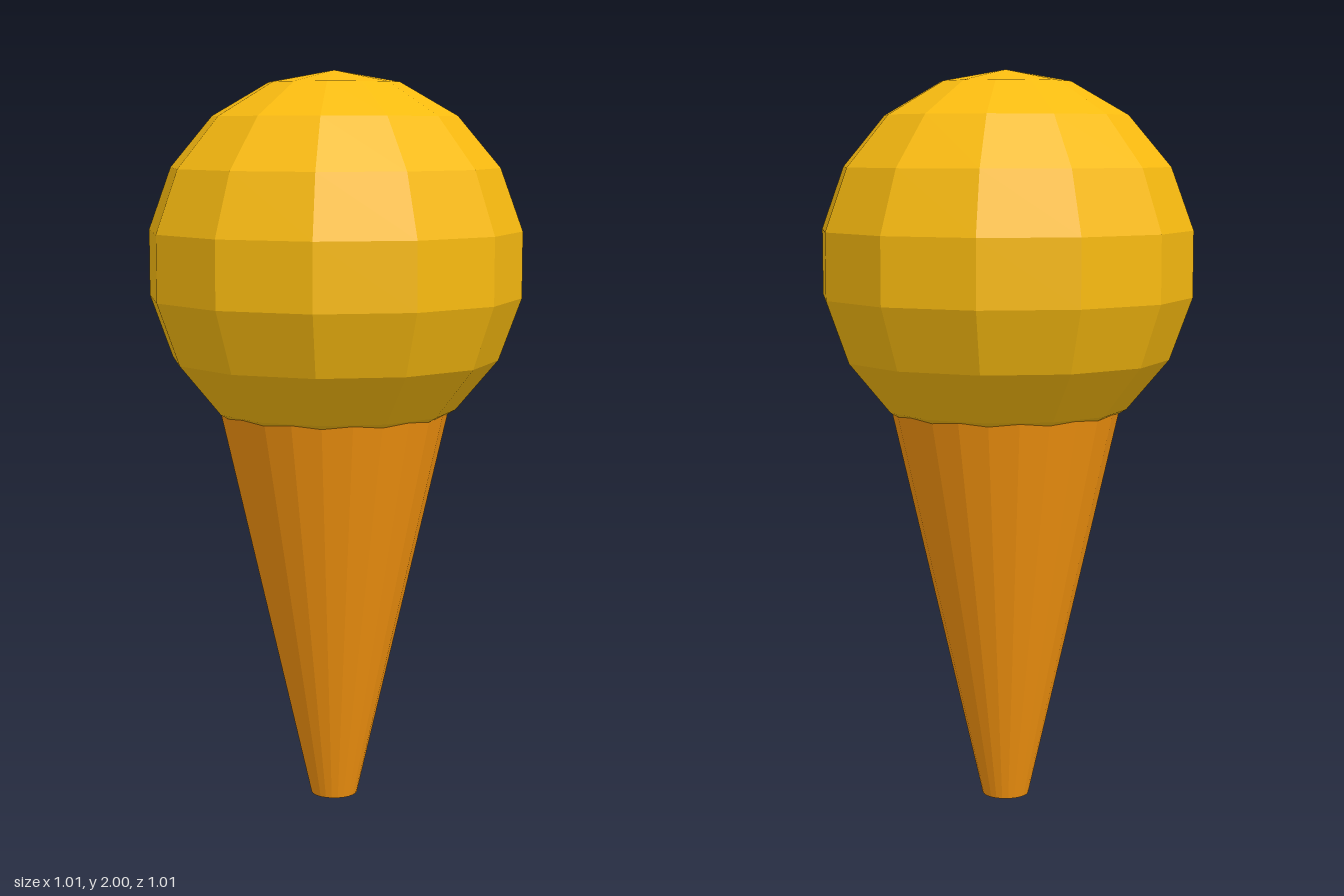
import * as THREE from 'three';

export function createModel() {
  const model = new THREE.Group();
  model.name = 'iceCream';

  const addPart = (name, geometry, color, y) => {
    const material = new THREE.MeshStandardMaterial({ flatShading: true });
    material.color.set(color);
    const mesh = new THREE.Mesh(geometry, material);
    mesh.name = name;
    mesh.position.y = y;
    model.add(mesh);
  };

  // Faceted scoop resting in the cone
  const scoopRadius = 0.515;
  addPart('scoop', new THREE.SphereGeometry(scoopRadius, 12, 9), 0xf9bb10, 2 - scoopRadius);

  // Tapered cone with a flat tip, its rim hidden inside the scoop
  const coneHeight = 1.1;
  addPart('cone', new THREE.CylinderGeometry(0.315, 0.064, coneHeight, 24), 0xf7950f, coneHeight / 2);

  return model;
}
